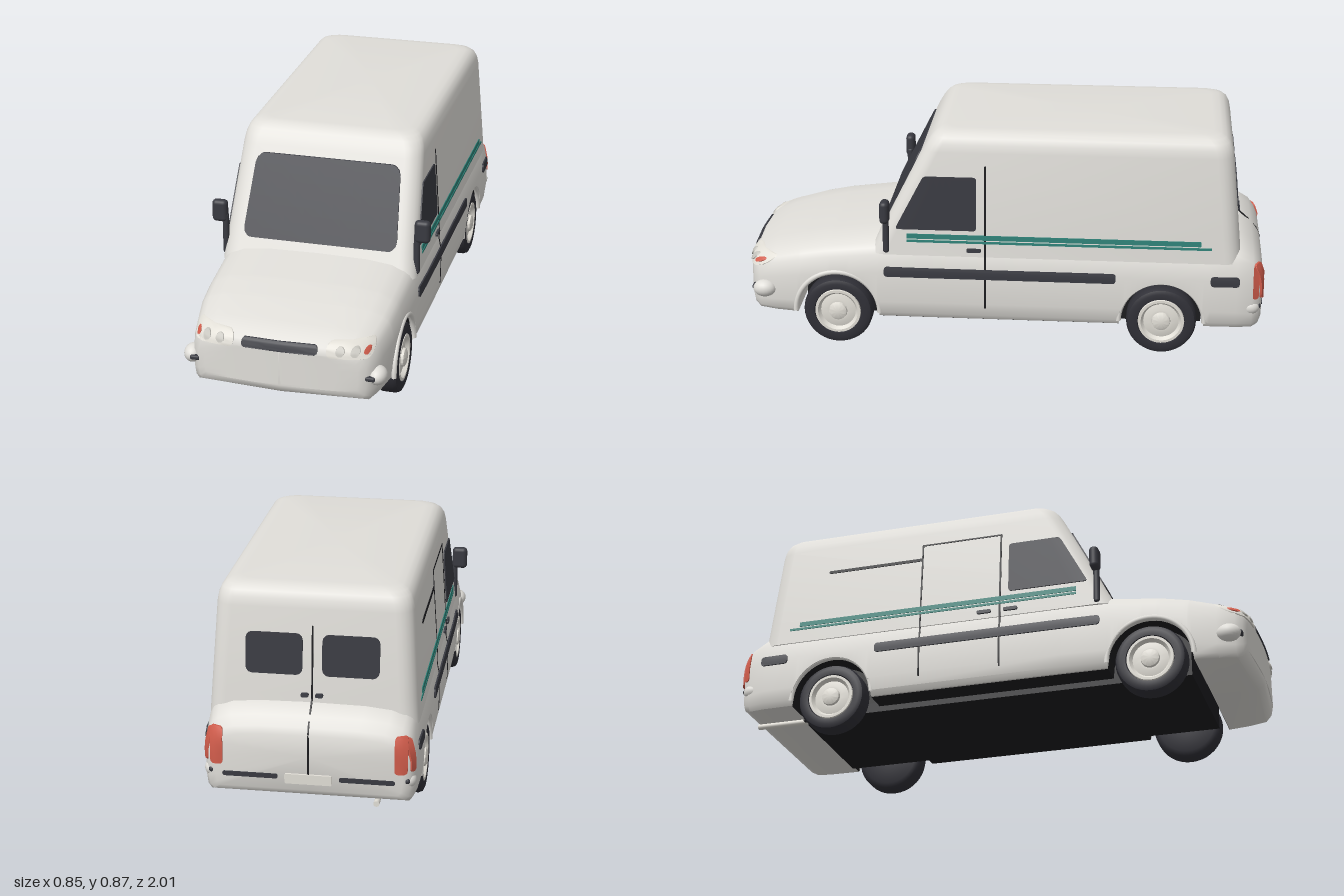
import * as THREE from 'three';
import { toCreasedNormals } from 'three/addons/utils/BufferGeometryUtils.js';
import { RoundedBoxGeometry } from 'three/addons/geometries/RoundedBoxGeometry.js';

const { lerp, smoothstep } = THREE.MathUtils;
const material = (name, color) => Object.assign(new THREE.MeshStandardMaterial({ color }), { name });
const WHEEL_Z = [0.635, -0.617], WHEEL_Y = 0.134, ARCH = 0.16;

// Skin over rows of [x, y, z] points
function loft(rows, capped, crease = 0.6) {
  const n = rows[0].length, pos = rows.flat(2), idx = [];
  for (let i = 0; i < rows.length - 1; i++) for (let j = 0; j < n - 1; j++) {
    const a = i * n + j, c = a + n;
    idx.push(a, a + 1, c, a + 1, c + 1, c);
  }
  if (capped) [0, rows.length - 1].forEach((i, last) => {
    const mid = [0, 1, 2].map(k => rows[i].reduce((s, p) => s + p[k], 0) / n);
    const m = pos.length / 3;
    pos.push(...mid);
    for (let j = 0; j < n - 1; j++) idx.push(m, i * n + j + (last ? 0 : 1), i * n + j + (last ? 1 : 0));
  });
  const g = new THREE.BufferGeometry();
  g.setAttribute('position', new THREE.Float32BufferAttribute(pos, 3));
  g.setIndex(idx);
  return toCreasedNormals(g, crease);
}

// Lower body stations: z, half width, top, bottom (the first few close the nose)
const KEYS = [
  [1.0003, 0.005, 0.30, 0.16], [1.0002, 0.1, 0.30, 0.16], [1.0001, 0.2, 0.30, 0.16],
  [1, 0.285, 0.30, 0.16], [0.992, 0.312, 0.325, 0.135], [0.97, 0.335, 0.345, 0.12], [0.9, 0.354, 0.368, 0.118],
  [0.78, 0.372, 0.397, 0.118], [0.68, 0.378, 0.417, 0.118], [0.47, 0.384, 0.444, 0.118], [0.3, 0.386, 0.46, 0.118],
  [-0.8, 0.386, 0.46, 0.118], [-0.9, 0.384, 0.455, 0.118], [-0.96, 0.376, 0.42, 0.118],
  [-0.985, 0.362, 0.385, 0.13], [-0.997, 0.335, 0.36, 0.15]];
// Half cross-section: fraction of width, fraction of height
const HALF = [[0, 1], [0.5, 0.992], [0.75, 0.965], [0.88, 0.91], [0.93, 0.86], [0.965, 0.79], [1, 0.58],
  [1, 0.2], [0.985, 0.06], [0.95, 0], [0, 0]];

function station(z) {
  const i = Math.max(1, KEYS.findIndex(k => k[0] <= z)), a = KEYS[i - 1], b = KEYS[i];
  return a.map((v, k) => lerp(v, b[k], (a[0] - z) / (a[0] - b[0])));
}
function archY(z) {
  const c = WHEEL_Z.find(w => Math.abs(z - w) <= ARCH);
  return c === undefined ? 0 : WHEEL_Y + Math.sqrt(Math.max(0, ARCH ** 2 - (z - c) ** 2));
}
function stationList() {
  const zs = KEYS.map(k => k[0]);
  for (const c of WHEEL_Z) {
    zs.push(c + ARCH + 0.002, c - ARCH - 0.002);
    for (let i = 0; i <= 20; i++) zs.push(c + (ARCH - 1e-5) * Math.cos(i * Math.PI / 20));
  }
  return zs.sort((a, b) => b - a);
}
function lowerRows() {
  return stationList().map(z => {
    const [, w, top, bottom] = station(z);
    const point = (s, [u, v]) => {
      const x = s * u * w;
      return [x, Math.max(lerp(bottom, top, v), archY(z)), z - 0.22 * x * x * smoothstep(z, 0.75, 1)];
    };
    return [...HALF.map(p => point(1, p)), ...HALF.slice(0, -1).reverse().map(p => point(-1, p))];
  });
}
function undersideRows() {
  return stationList().filter(z => Math.abs(z) < 0.8).map(z => {
    const x = 0.94 * station(z)[1], y = Math.max(0.118, archY(z)) - 0.002;
    return [[x, y, z], [-x, y, z]];
  });
}

// Upper body: rounded rectangles stacked in y, drawn in at the roof
function upperRows() {
  return [[0.38, 0], [0.48, 0], [0.79, 0], [0.82, 0.003], [0.842, 0.011], [0.856, 0.024], [0.864, 0.042], [0.867, 0.07]].map(([y, inset]) => {
    const w = 0.375 - 0.065 * (y - 0.44) - inset, r = 0.062;
    const front = 0.457 - 0.506 * (y - 0.48) - inset * 0.7, back = -0.905 + 0.1 * (y - 0.465) + inset;
    const mid = (front + back) / 2, d = (front - back) / 2, ring = [];
    [[1, 1], [-1, 1], [-1, -1], [1, -1]].forEach(([sx, sz], k) => {
      for (let i = 0; i <= 6; i++) {
        const a = (k + i / 6) * Math.PI / 2;
        ring.push([sx * (w - r) + r * Math.cos(a), y, mid - (sz * (d - r) + r * Math.sin(a))]);
      }
    });
    return [...ring, ring[0]];
  });
}

export function createModel() {
  const van = new THREE.Group();
  van.name = 'van';
  const paint = material('body paint', 0xe0ded9), dark = material('dark glass and trim', 0x393a41);
  const black = material('underbody black', 0x1b1b1e), teal = material('teal stripe', 0x2f8278);
  const red = material('red lamp', 0xd05c4b), lamp = material('lamp and rim', 0xe2dfd7);
  const tyre = material('tyre rubber', 0x303037), metal = material('lamp grey', 0xc6c4bd);
  black.side = THREE.DoubleSide;

  function add(name, geo, mat, x = 0, y = 0, z = 0, parent = van) {
    const m = new THREE.Mesh(geo, mat);
    m.name = name;
    m.position.set(x, y, z);
    parent.add(m);
    return m;
  }
  const shells = [add('lowerBody', loft(lowerRows(), true, 0.9), paint), add('upperBody', loft(upperRows(), true), paint)];
  add('underside', loft(undersideRows(), false), black);
  add('chassis', new THREE.BoxGeometry(0.54, 0.206, 1.54), black, 0, 0.197, 0);

  // Thin rounded plate laid onto the body; corners run bottom-left, bottom-right, top-right, top-left in (u, y)
  const ray = new THREE.Raycaster();
  function patch(name, mat, face, [bl, br, tr, tl], r = 0.015, lift = 0.005) {
    const side = face === 'left' || face === 'right', s = face === 'left' || face === 'front' ? 1 : -1;
    const h = Math.max(tl[1], tr[1]) - Math.min(bl[1], br[1]);
    r = Math.min(r, h / 2);
    const ends = [0, 0, 0.04, 0.15, 0.5, 1].map(k => k * r), n = Math.ceil(h / 0.04), ds = [...ends];
    for (let i = 1; i < n; i++) ds.push(lerp(r, h - r, i / n));
    ds.push(...ends.map(d => h - d).reverse());
    const cols = Math.ceil(Math.abs(br[0] - bl[0]) / 0.04) + 1;
    let last = 0;
    const rows = ds.map((d, i) => {
      const t = d / h, e = Math.max(0, r - Math.min(d, h - d)), inset = r - Math.sqrt(Math.max(0, r * r - e * e));
      const u0 = lerp(bl[0], tl[0], t) + inset, u1 = lerp(br[0], tr[0], t) - inset;
      const row = [];
      for (let j = -1; j <= cols + 1; j++) {
        const k = Math.min(cols, Math.max(0, j)) / cols, u = lerp(u0, u1, k);
        const y = lerp(lerp(bl[1], tl[1], t), lerp(br[1], tr[1], t), k);
        const rim = i === 0 || i === ds.length - 1 || j < 0 || j > cols;
        const from = side ? new THREE.Vector3(2 * s, y, u) : new THREE.Vector3(u, y, 2 * s);
        ray.set(from, side ? new THREE.Vector3(-s, 0, 0) : new THREE.Vector3(0, 0, -s));
        const hit = ray.intersectObjects(shells)[0];
        if (hit) last = side ? hit.point.x : hit.point.z;
        const out = last + s * (rim ? -0.004 : lift);
        row.push(side ? [out, y, u] : [u, y, out]);
      }
      return (face === 'left' || face === 'back') ? row.reverse() : row;
    });
    add(name, loft(rows, false), mat);
  }
  const rect = (u0, u1, y0, y1) => [[u0, y0], [u1, y0], [u1, y1], [u0, y1]];

  // Front glass, grille and lamps
  patch('windscreen', dark, 'front', [[-0.3, 0.475], [0.3, 0.475], [0.28, 0.765], [-0.28, 0.765]], 0.035, 0.006);
  patch('grille', dark, 'front', rect(-0.14, 0.14, 0.298, 0.332), 0.012, 0.006);
  for (const s of [1, -1]) {
    const span = (a, b, y0, y1) => s > 0 ? rect(a, b, y0, y1) : rect(-b, -a, y0, y1);
    const disc = (x, r) => span(x - r, x + r, 0.317 - r, 0.317 + r);
    patch('headlight', lamp, 'front', span(0.172, 0.332, 0.292, 0.345), 0.02, 0.006);
    patch('headlampBulb', metal, 'front', disc(0.222, 0.016), 0.016, 0.011);
    patch('headlampBulb', metal, 'front', disc(0.275, 0.016), 0.016, 0.011);
    patch('turnSignal', red, 'front', disc(0.313, 0.01), 0.01, 0.011);
    add('frontBumperCorner', new THREE.SphereGeometry(1, 20, 14), paint, s * 0.345, 0.21, 0.925).scale.set(0.035, 0.034, 0.045);
    add('fogLampSlot', new RoundedBoxGeometry(0.036, 0.017, 0.036, 2, 0.006), dark, s * 0.327, 0.212, 0.957);

    // Rear door details
    patch('rearWindow', dark, 'back', span(0.035, 0.24, 0.55, 0.7), 0.025);
    patch('rearBumperStrip', dark, 'back', span(0.11, 0.31, 0.19, 0.207), 0.008);
    patch('rearHandle', dark, 'back', span(0.012, 0.04, 0.472, 0.485), 0.005, 0.012);
    patch('tailLight', red, 'back', span(0.308, 0.354, 0.235, 0.372), 0.012, 0.008);
    add('rearBumperCorner', new THREE.SphereGeometry(1, 20, 14), paint, s * 0.352, 0.2, -0.955).scale.set(0.03, 0.03, 0.035);
    add('rearReflector', new THREE.SphereGeometry(0.011, 12, 8), dark, s * 0.352, 0.205, -0.984);

    // Flanks
    const face = s > 0 ? 'left' : 'right';
    patch('sideWindow', dark, face, [[0.093, 0.485], [0.405, 0.485], [0.295, 0.695], [0.093, 0.695]], 0.012);
    patch('tailLightWrap', red, face, rect(-0.985, -0.962, 0.24, 0.368), 0.01, 0.006);
    patch('upperStripe', teal, face, rect(-0.76, 0.36, 0.448, 0.467), 0.002, 0.003);
    patch('lowerStripe', teal, face, rect(-0.8, 0.36, 0.434, 0.443), 0.002, 0.003);
    patch('sideMoulding', dark, face, rect(-0.44, 0.45, 0.292, 0.33), 0.012, 0.006);
    patch('rearMoulding', dark, face, rect(-0.91, -0.8, 0.292, 0.33), 0.012, 0.006);
    patch('doorSeam', black, face, rect(0.056, 0.063, 0.17, 0.74), 0.002, 0.002);
    patch('doorHandle', dark, face, rect(0.075, 0.13, 0.4, 0.414), 0.005, 0.008);

    // Mirrors
    add('mirrorHousing', new RoundedBoxGeometry(0.06, 0.088, 0.036, 3, 0.016), dark, s * 0.394, 0.562, 0.44);
    add('mirrorArm', new RoundedBoxGeometry(0.024, 0.165, 0.024, 2, 0.01), dark, s * 0.373, 0.47, 0.44);
  }
  // Sliding door on the right flank
  patch('slidingDoorSeam', black, 'right', rect(-0.263, -0.257, 0.17, 0.745), 0.002, 0.002);
  patch('slidingDoorTopSeam', black, 'right', rect(-0.263, 0.063, 0.739, 0.745), 0.002, 0.002);
  patch('slidingDoorRail', black, 'right', rect(-0.65, -0.263, 0.672, 0.684), 0.003, 0.003);
  patch('slidingDoorHandle', dark, 'right', rect(-0.03, 0.025, 0.4, 0.414), 0.005, 0.008);
  patch('rearDoorSeam', black, 'back', rect(-0.003, 0.003, 0.2, 0.73), 0.002, 0.003);
  patch('numberPlate', lamp, 'back', rect(-0.085, 0.085, 0.175, 0.212), 0.006, 0.008);
  add('exhaust', new THREE.CylinderGeometry(0.011, 0.011, 0.21, 14).rotateX(Math.PI / 2), lamp, -0.24, 0.1, -0.865);

  // Wheels: lathed about the axle, outer face towards +x
  const turned = pts => new THREE.LatheGeometry(pts.map(p => new THREE.Vector2(...p)), 40).rotateZ(-Math.PI / 2);
  const tyreGeo = toCreasedNormals(turned([[0, -0.044], [0.112, -0.044], [0.128, -0.036], [0.134, -0.024], [0.134, 0.024],
    [0.128, 0.038], [0.114, 0.044], [0.092, 0.042], [0.088, 0.03]]), 0.7);
  const rimGeo = toCreasedNormals(turned([[0.09, 0.03], [0.088, 0.043], [0.078, 0.043], [0.068, 0.028], [0.045, 0.034],
    [0.036, 0.034], [0.034, 0.044], [0.024, 0.049], [0, 0.05]]), 0.5);
  for (const s of [1, -1]) for (const z of WHEEL_Z) {
    const wheel = new THREE.Group();
    wheel.name = 'wheel';
    wheel.position.set(s * 0.334, WHEEL_Y, z);
    if (s < 0) wheel.rotation.y = Math.PI;
    add('tyre', tyreGeo, tyre, 0, 0, 0, wheel);
    add('rim', rimGeo, lamp, 0, 0, 0, wheel);
    van.add(wheel);
    const flare = add('archFlare', new THREE.TorusGeometry(ARCH + 0.004, 0.01, 8, 32, Math.PI), paint, s * 0.374, WHEEL_Y, z);
    flare.rotation.y = Math.PI / 2;
  }
  return van;
}
